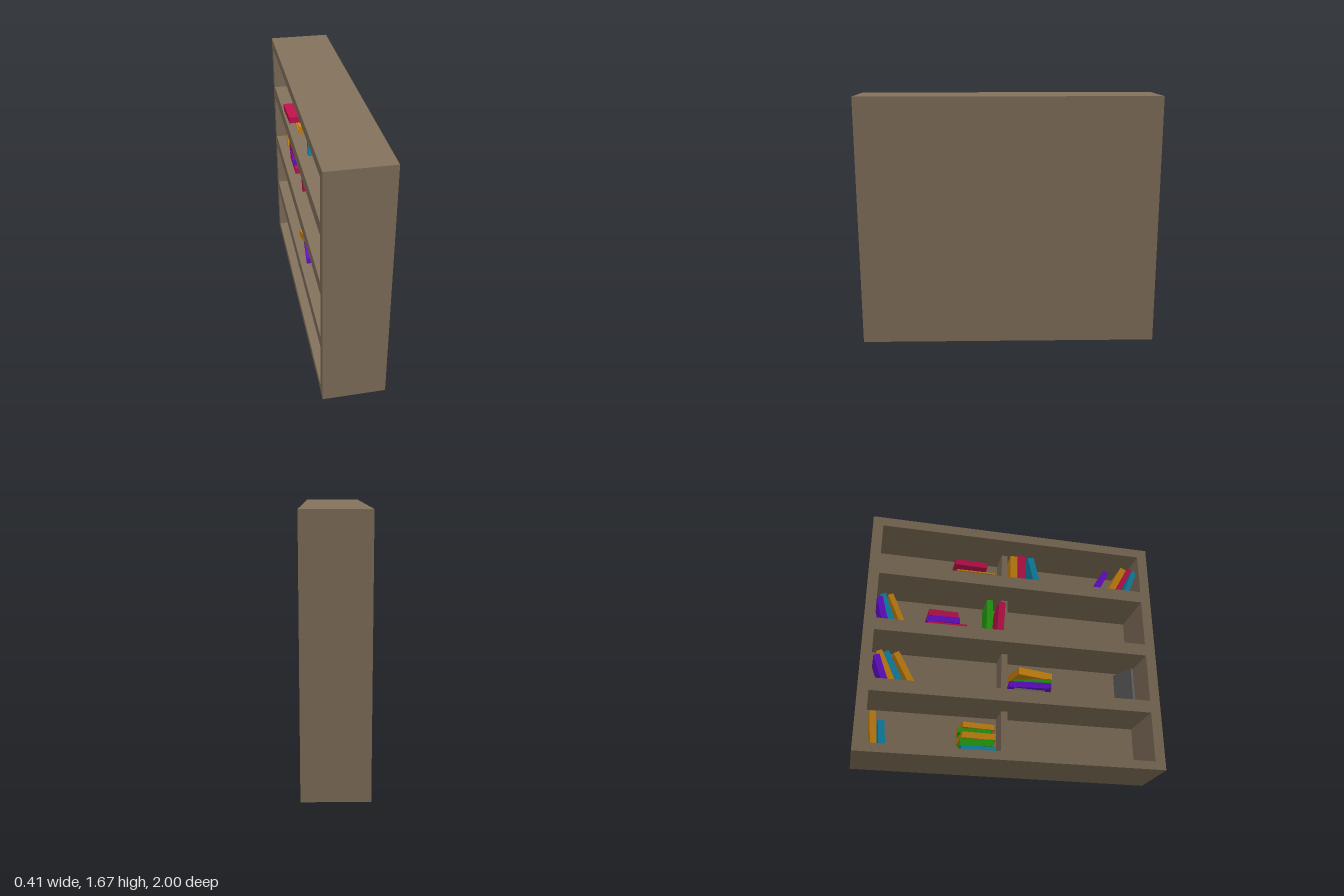
import * as THREE from 'three';

const W = 0.41, H = 1.675, L = 2;          // depth (x), height (y), length (z)
const SIDE = 0.07, BACK = 0.052;
const FLOORS = [0.055, 0.475, 0.895, 1.315];   // walking surface of each shelf
const CEILINGS = [0.39, 0.81, 1.23, 1.61];

const material = (color) => new THREE.MeshStandardMaterial({ color, flatShading: true });
const wood = material(0x84725c);
const inks = {
  red: material(0xc4124f), orange: material(0xcf8812), purple: material(0x6a10d6),
  green: material(0x27a80f), blue: material(0x128bb0), grey: material(0x666666),
};

export function createModel() {
  const model = new THREE.Group();
  model.name = 'bookcase';

  // box given by its minimum and maximum corners
  const panel = (name, x0, x1, y0, y1, z0, z1, mat = wood, parent = model) => {
    const mesh = new THREE.Mesh(new THREE.BoxGeometry(x1 - x0, y1 - y0, z1 - z0), mat);
    mesh.position.set((x0 + x1) / 2, (y0 + y1) / 2, (z0 + z1) / 2);
    mesh.name = name;
    parent.add(mesh);
    return mesh;
  };

  // carcass, open towards -x
  const hx = W / 2, hz = L / 2, inner = hx - BACK, end = hz - SIDE;
  panel('backPanel', inner, hx, 0, H, -hz, hz);
  panel('sidePanel', -hx, inner, 0, H, -hz, -end);
  panel('sidePanel', -hx, inner, 0, H, end, hz);
  panel('basePanel', -hx, inner, 0, FLOORS[0], -end, end);
  panel('topPanel', -hx, inner, CEILINGS[3], H, -end, end);
  for (let i = 0; i < 3; i++) panel('shelf', -hx, inner, CEILINGS[i], FLOORS[i + 1], -end, end);
  // half-depth dividers
  for (let i = 0; i < 4; i++) panel('divider', -0.012, inner, FLOORS[i], CEILINGS[i], -0.054, -0.01);

  // upright book: lean tips its top towards +z, pivoting on the lower edge
  const standing = (row, ink, x, z, thick, height, depth, lean = 0, yaw = 0) => {
    const geo = new THREE.BoxGeometry(depth, height, thick);
    const pivot = Math.sign(lean) * thick / 2;
    geo.translate(0, height / 2, -pivot);
    const book = new THREE.Mesh(geo, inks[ink]);
    book.position.set(x, FLOORS[row], z + pivot);
    book.rotation.set(lean, yaw, 0);
    book.name = 'standingBook';
    model.add(book);
  };

  // pile of flat books, bottom first: [ink, x, z, width, length, thickness, yaw]
  const pile = (row, books) => {
    const group = new THREE.Group();
    group.name = 'bookPile';
    let y = FLOORS[row];
    for (const [ink, x, z, w, l, t, yaw] of books) {
      const book = new THREE.Mesh(new THREE.BoxGeometry(w, t, l), inks[ink]);
      book.position.set(x, y + t / 2, z);
      book.rotation.y = yaw;
      book.name = 'flatBook';
      group.add(book);
      y += t;
    }
    model.add(group);
  };

  // bottom row
  standing(0, 'orange', -0.03, -0.87, 0.04, 0.23, 0.2, -0.1);
  standing(0, 'blue', -0.04, -0.82, 0.04, 0.17, 0.2, -0.1);
  pile(0, [
    ['blue', -0.045, -0.23, 0.19, 0.22, 0.045, 0.05],
    ['green', -0.045, -0.23, 0.19, 0.21, 0.045, -0.08],
    ['orange', -0.05, -0.23, 0.19, 0.22, 0.04, 0.06],
    ['green', -0.04, -0.24, 0.18, 0.21, 0.03, -0.1],
    ['orange', -0.055, -0.235, 0.17, 0.21, 0.035, 0.12],
  ]);

  // second row
  standing(1, 'purple', -0.03, -0.83, 0.04, 0.2, 0.2, -0.35);
  standing(1, 'orange', -0.03, -0.78, 0.04, 0.24, 0.2, -0.45);
  standing(1, 'blue', -0.03, -0.73, 0.04, 0.24, 0.2, -0.48);
  standing(1, 'orange', -0.03, -0.655, 0.04, 0.245, 0.19, -0.5);
  pile(1, [
    ['grey', -0.04, 0.11, 0.19, 0.21, 0.04, 0.05],
    ['purple', -0.06, 0.12, 0.2, 0.28, 0.04, -0.09],
    ['green', -0.03, 0.16, 0.18, 0.25, 0.04, -0.25],
    ['orange', -0.07, 0.13, 0.17, 0.25, 0.05, 0.25],
  ]);
  standing(1, 'grey', -0.01, 0.83, 0.02, 0.28, 0.17, 0, 0.45);

  // third row
  standing(2, 'purple', -0.03, -0.86, 0.04, 0.2, 0.2, -0.25);
  standing(2, 'blue', -0.03, -0.81, 0.04, 0.23, 0.2, -0.35);
  standing(2, 'orange', -0.045, -0.745, 0.035, 0.23, 0.2, -0.42);
  pile(2, [
    ['red', -0.05, -0.45, 0.2, 0.26, 0.042, 0],
    ['purple', -0.055, -0.475, 0.2, 0.22, 0.043, -0.06],
    ['red', -0.05, -0.483, 0.2, 0.2, 0.045, 0.04],
  ]);
  standing(2, 'green', -0.02, -0.158, 0.042, 0.27, 0.19);
  standing(2, 'red', -0.04, -0.09, 0.045, 0.25, 0.2, 0.06);

  // top row, with one book lying with its open side out
  const y = FLOORS[3];
  const open = new THREE.Group();
  open.name = 'openSidedBook';
  panel('lowerCover', -0.148, 0.088, y, y + 0.01, -0.4, -0.13, inks.orange, open);
  panel('upperCover', -0.148, 0.088, y + 0.04, y + 0.05, -0.4, -0.13, inks.orange, open);
  panel('spine', -0.148, 0.088, y + 0.01, y + 0.04, -0.14, -0.13, inks.orange, open);
  model.add(open);
  const top = panel('flatBook', -0.205, -0.005, y + 0.05, y + 0.092, -0.422, -0.2, inks.red);
  top.rotation.y = 0.03;
  standing(3, 'orange', -0.005, 0.017, 0.05, 0.24, 0.2);
  standing(3, 'red', -0.02, 0.069, 0.05, 0.24, 0.2);
  standing(3, 'blue', -0.04, 0.18, 0.045, 0.22, 0.2, -0.22);
  standing(3, 'purple', -0.038, 0.61, 0.042, 0.2, 0.18, 0.5);
  standing(3, 'orange', -0.025, 0.725, 0.045, 0.255, 0.19, 0.5);
  standing(3, 'red', -0.035, 0.775, 0.035, 0.255, 0.19, 0.48);
  standing(3, 'blue', -0.045, 0.84, 0.035, 0.22, 0.19, 0.4);

  return model;
}
